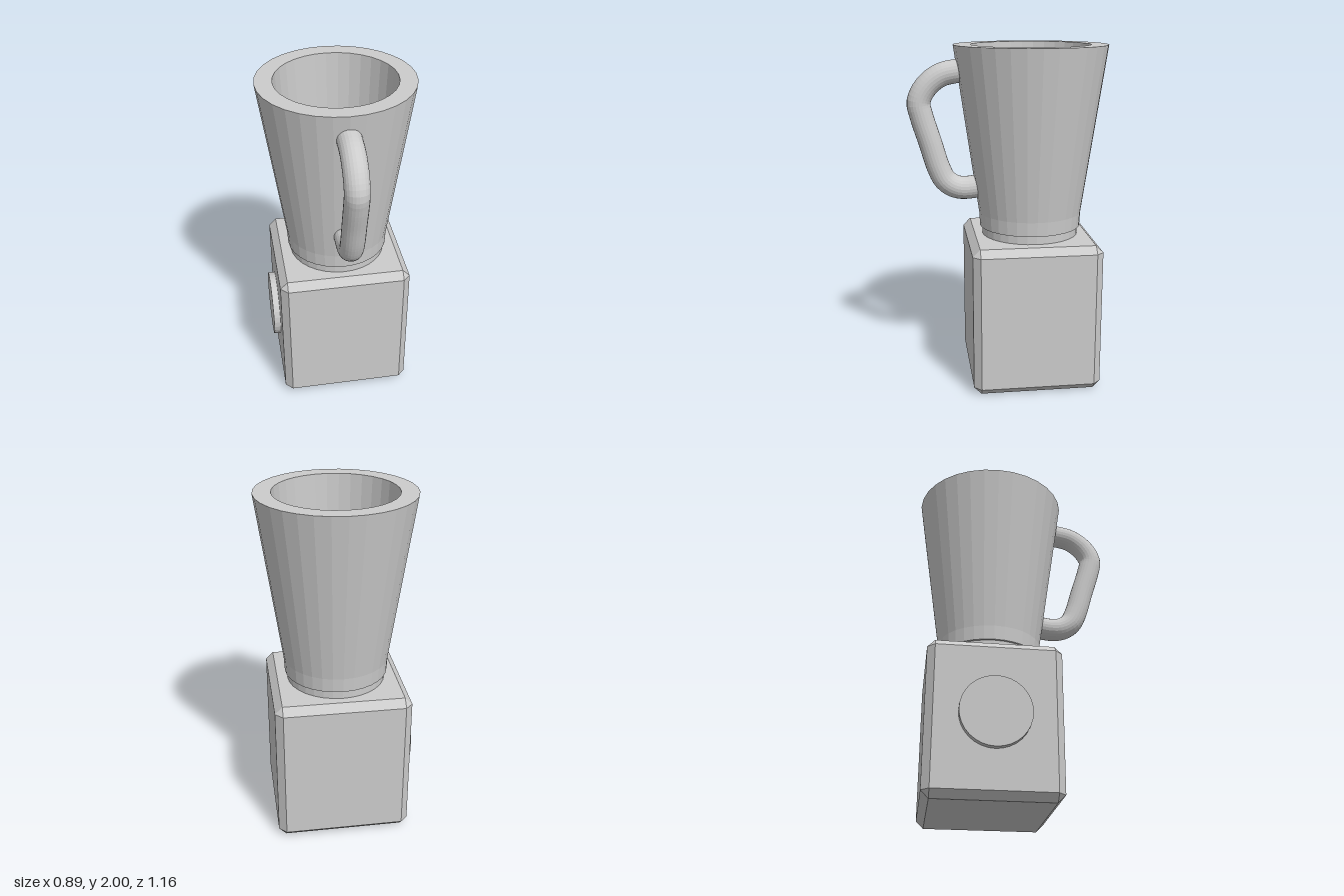
import * as THREE from 'three';
import { ConvexGeometry } from 'three/addons/geometries/ConvexGeometry.js';

const CENTRE_Z = -0.137;
const SIDES = 32;

// Box with every edge chamfered: each corner contributes one point per adjoining face
function chamferedBox(w, h, d, c) {
  const points = [];
  for (const sx of [-1, 1]) for (const sy of [-1, 1]) for (const sz of [-1, 1]) {
    const x = w / 2, y = h / 2, z = d / 2;
    points.push(
      new THREE.Vector3(sx * x, sy * (y - c), sz * (z - c)),
      new THREE.Vector3(sx * (x - c), sy * y, sz * (z - c)),
      new THREE.Vector3(sx * (x - c), sy * (y - c), sz * z)
    );
  }
  return new ConvexGeometry(points);
}

export function createModel() {
  const group = new THREE.Group();
  const material = new THREE.MeshStandardMaterial({ color: 0xcccccc, flatShading: true });

  const add = (name, geometry, x, y, z) => {
    const mesh = new THREE.Mesh(geometry, material);
    mesh.name = name;
    mesh.position.set(x, y, z);
    group.add(mesh);
    return mesh;
  };

  // Motor base
  const baseHeight = 0.887;
  add('base', chamferedBox(0.78, baseHeight, 0.752, 0.043), 0, baseHeight / 2, CENTRE_Z);

  // Round dial on the side of the base
  const dial = add('dial', new THREE.CylinderGeometry(0.198, 0.198, 0.06, SIDES), -0.4, 0.462, CENTRE_Z);
  dial.rotation.z = Math.PI / 2;

  // Neck joining jug and base
  add('neck', new THREE.CylinderGeometry(0.286, 0.286, 0.08, SIDES), 0, 0.91, CENTRE_Z);

  // Hollow jug: underside, outer wall, rim, inner wall, floor
  const profile = [
    [0, 0.937], [0.3, 0.937], [0.305, 1.02], [0.447, 2],
    [0.347, 2], [0.291, 1.02], [0, 1.02],
  ].map(([r, y]) => new THREE.Vector2(r, y));
  add('jug', new THREE.LatheGeometry(profile, SIDES), 0, 0, CENTRE_Z);

  // Handle, with both ends buried in the jug wall
  const path = new THREE.CatmullRomCurve3([
    [1.862, 0.235], [1.854, 0.283], [1.83, 0.385], [1.765, 0.468], [1.68, 0.511],
    [1.6, 0.497], [1.445, 0.45], [1.29, 0.403], [1.217, 0.365], [1.178, 0.305],
    [1.17, 0.246], [1.18, 0.163],
  ].map(([y, z]) => new THREE.Vector3(0, y, z)));
  add('handle', new THREE.TubeGeometry(path, 48, 0.068, 24), 0, 0, 0);

  return group;
}
